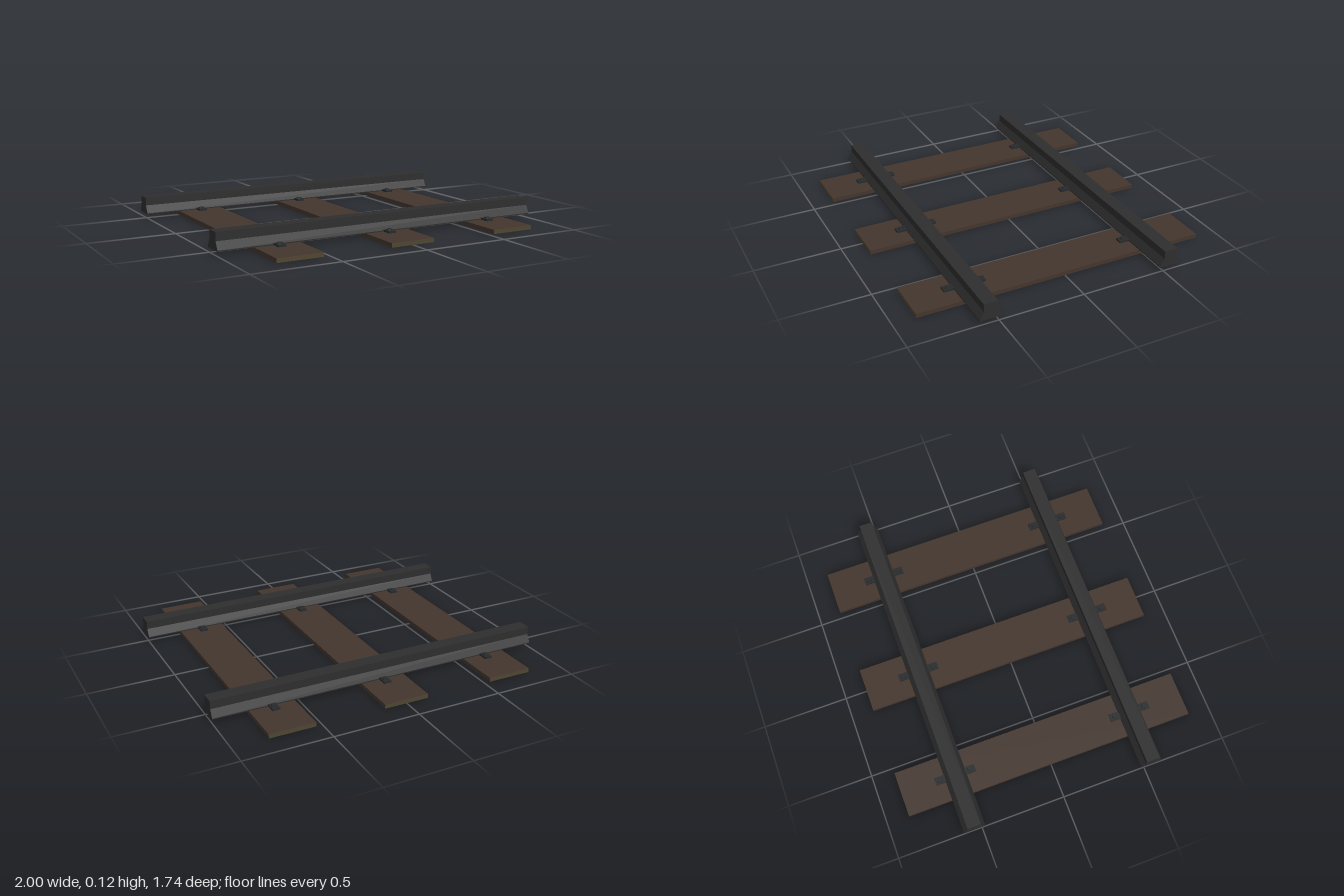
import * as THREE from 'three';

const mat = (name, color) => {
  const m = new THREE.MeshStandardMaterial({ color });
  m.name = name;
  return m;
};

export function createModel() {
  const wood = mat('dark wood', 0x43352d);
  const endGrain = mat('end grain', 0x4f4530);
  const steel = mat('rail steel', 0x2e2e2e);
  const iron = mat('clip iron', 0x272a2c);

  const track = new THREE.Group();
  track.name = 'railwayTrack';
  const add = (parent, name, geometry, material, x, y, z) => {
    const mesh = new THREE.Mesh(geometry, material);
    mesh.name = name;
    mesh.position.set(x, y, z);
    parent.add(mesh);
    return mesh;
  };

  const sleeperTop = 0.024;
  const railZ = 0.544;

  // Rail section: wide foot sloping up to a straight head, run along x
  const half = [[0.064, 0.024], [0.064, 0.03], [0.04, 0.074], [0.04, 0.121]];
  const outline = [...half, ...half.map(([z, y]) => [-z, y]).reverse()];
  const section = new THREE.Shape(outline.map(([z, y]) => new THREE.Vector2(z, y)));
  const railGeo = new THREE.ExtrudeGeometry(section, { depth: 2, bevelEnabled: false })
    .translate(0, 0, -1)
    .rotateY(Math.PI / 2);

  // Sleeper with pale end grain on its two short faces
  const sleeperGeo = new THREE.BoxGeometry(0.264, sleeperTop, 1.74);
  const sleeperMats = [wood, wood, wood, wood, endGrain, endGrain];

  // Clip plate and hexagonal bolt head
  const plateGeo = new THREE.BoxGeometry(0.044, 0.011, 0.06);
  const boltGeo = new THREE.CylinderGeometry(0.015, 0.017, 0.008, 6).toNonIndexed();
  boltGeo.computeVertexNormals();

  for (const side of [-1, 1]) add(track, 'rail', railGeo, steel, 0, 0, side * railZ);

  for (const x of [-0.667, 0, 0.667]) {
    add(track, 'sleeper', sleeperGeo, sleeperMats, x, sleeperTop / 2, 0);
    for (const side of [-1, 1]) {
      for (const edge of [-1, 1]) {
        const clip = new THREE.Group();
        clip.name = 'railClip';
        clip.position.set(x, sleeperTop, side * railZ + edge * 0.092);
        add(clip, 'clipPlate', plateGeo, iron, 0, 0.0055, 0);
        add(clip, 'clipBolt', boltGeo, iron, 0, 0.015, 0);
        track.add(clip);
      }
    }
  }
  return track;
}
